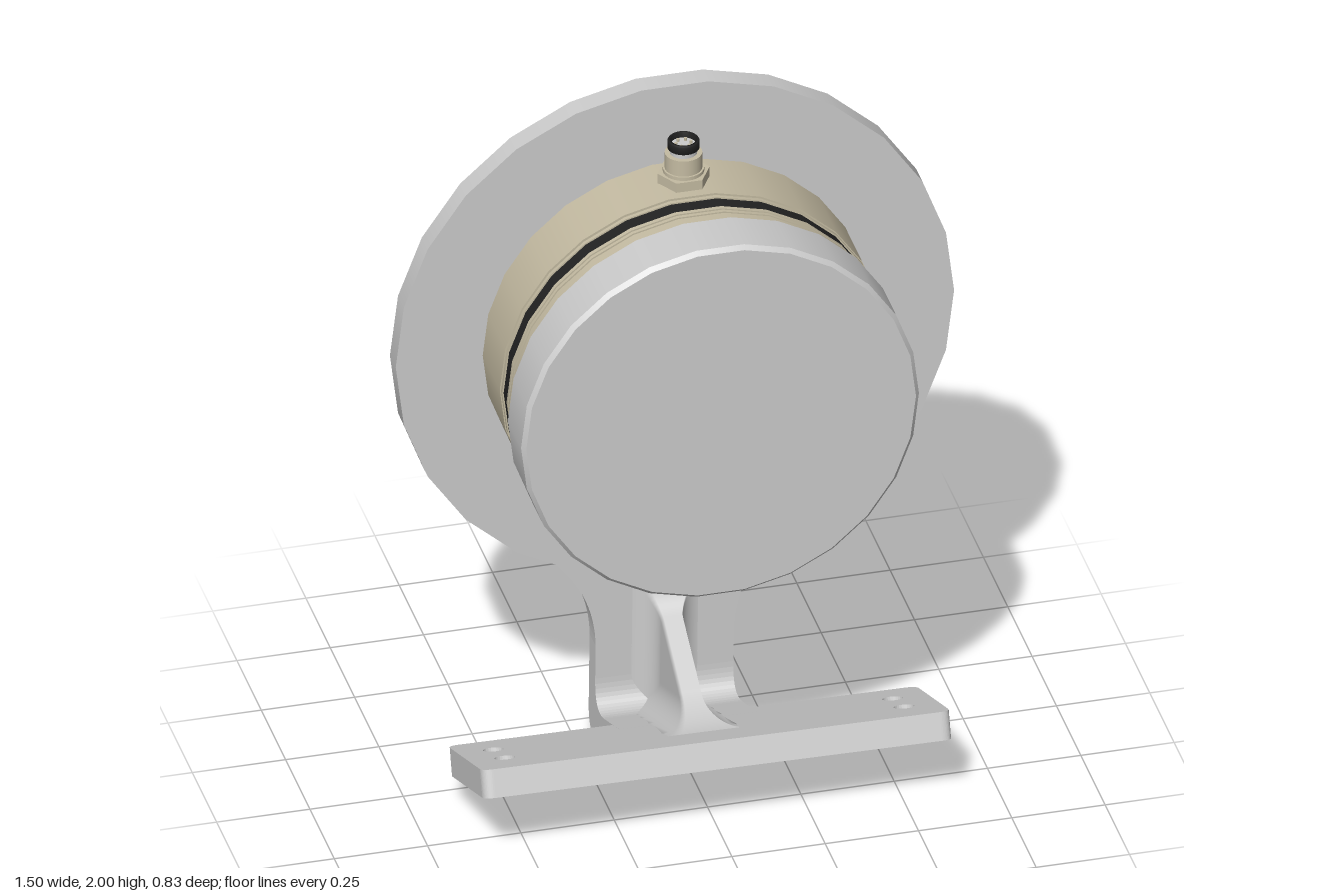
import * as THREE from 'three';
import { ParametricGeometry } from 'three/addons/geometries/ParametricGeometry.js';

const CY = 1.258; // height of the main axis
const SIDES = 26;
const grey = new THREE.MeshStandardMaterial({ color: 0xcccccc });
const greyThin = new THREE.MeshStandardMaterial({ color: 0xcccccc, side: THREE.DoubleSide });
const tan = new THREE.MeshStandardMaterial({ color: 0xc4bba2 });
const black = new THREE.MeshStandardMaterial({ color: 0x222222 });

function add(parent, name, geometry, material) {
  const mesh = new THREE.Mesh(geometry, material);
  mesh.name = name;
  parent.add(mesh);
  return mesh;
}

// Disc along z, from z0 (back, radius r0) to z1 (front, radius r1)
function disc(parent, name, z0, z1, r0, material, r1 = r0, sides = SIDES) {
  const g = new THREE.CylinderGeometry(r1, r0, z1 - z0, sides, 1, false, Math.PI / 2);
  g.rotateX(Math.PI / 2).translate(0, CY, (z0 + z1) / 2);
  return add(parent, name, g, material);
}

// Upright cylinder for the connector
function post(parent, name, y0, y1, r, material, sides = 24) {
  const g = new THREE.CylinderGeometry(r, r, y1 - y0, sides).translate(0, (y0 + y1) / 2, 0);
  return add(parent, name, g, material);
}

function hole(shape, x, y, r) {
  shape.holes.push(new THREE.Path().absarc(x, y, r, 0, Math.PI * 2, true));
}

function buildHousing(group) {
  disc(group, 'flange', -0.145, -0.085, 0.748, grey);
  disc(group, 'rearDisc', -0.207, -0.145, 0.6, grey);
  disc(group, 'rearDrum', -0.415, -0.207, 0.375, grey);

  // Banded body: back z, front z, radius, material
  const bands = [
    ['bodyShell', -0.085, 0.09, 0.515, tan],
    ['bodyGroove', 0.09, 0.096, 0.508, tan],
    ['bodyRing', 0.096, 0.107, 0.513, tan],
    ['sealRing', 0.107, 0.152, 0.509, black],
    ['frontRing', 0.152, 0.164, 0.513, tan],
    ['frontGroove', 0.164, 0.17, 0.506, tan],
    ['frontRing', 0.17, 0.18, 0.513, tan],
    ['frontGroove', 0.18, 0.186, 0.506, tan],
    ['frontShell', 0.186, 0.24, 0.513, tan],
  ];
  for (const [name, z0, z1, r, m] of bands) disc(group, name, z0, z1, r, m);

  // Front cap with bevelled rims
  disc(group, 'capBackBevel', 0.235, 0.242, 0.526, grey, 0.533);
  disc(group, 'cap', 0.242, 0.378, 0.533, grey);
  disc(group, 'capFrontBevel', 0.378, 0.39, 0.533, grey, 0.522);

  // Row of small marks low on the left side
  for (const y of [0.86, 0.905, 0.95]) {
    const a = Math.asin((y - CY) / 0.513);
    const dot = new THREE.CylinderGeometry(0.007, 0.007, 0.006, 10).rotateZ(a - Math.PI / 2);
    dot.translate(Math.cos(a) * 0.511, y, 0.015);
    add(group, 'sideMark', dot, black);
  }
}

function buildConnector() {
  const c = new THREE.Group();
  c.name = 'connector';
  c.position.z = 0.003;
  const hex = post(c, 'hexNut', 1.765, 1.797, 0.07, tan, 6);
  hex.rotation.y = Math.PI / 2;
  hex.material = new THREE.MeshStandardMaterial({ color: 0xc4bba2, flatShading: true });
  post(c, 'nutCollar', 1.797, 1.807, 0.054, tan);
  post(c, 'plugBody', 1.807, 1.853, 0.049, tan);
  post(c, 'plugNeck', 1.853, 1.868, 0.036, grey);
  // Hollow rim around the pins
  const rim = [[0.033, 1.868], [0.042, 1.868], [0.042, 1.888], [0.039, 1.892], [0.033, 1.892], [0.033, 1.868]];
  add(c, 'plugRim', new THREE.LatheGeometry(rim.map(p => new THREE.Vector2(...p)), 24), black);
  post(c, 'pinFace', 1.866, 1.876, 0.034, grey);
  for (let i = 0; i < 6; i++) {
    const a = (i / 6) * Math.PI * 2;
    const pin = post(c, 'pin', 1.874, 1.884, 0.004, tan, 8);
    pin.position.set(Math.cos(a) * 0.02, 0, Math.sin(a) * 0.02);
  }
  return c;
}

function buildBracket() {
  const pivot = new THREE.Group();
  pivot.name = 'bracket';
  pivot.position.y = CY;
  pivot.rotation.z = -0.012;
  const b = new THREE.Group();
  b.name = 'bracketParts';
  b.position.y = -CY;
  pivot.add(b);

  // Flared back plate that hugs the rear disc
  const half = 0.578, mid = -Math.PI / 2, W = 0.185;
  const ex = 0.745 * Math.sin(half), ey = CY - 0.745 * Math.cos(half);
  const plate = new THREE.Shape();
  plate.moveTo(-W, 0.07);
  plate.lineTo(W, 0.07);
  plate.lineTo(W, 0.28);
  plate.quadraticCurveTo(0.19, 0.5, ex, ey);
  plate.absarc(0, CY, 0.598, mid + half, mid - half, true);
  plate.lineTo(-ex, ey);
  plate.quadraticCurveTo(-0.19, 0.5, -W, 0.28);
  for (const a of [-0.42, 0, 0.42]) {
    hole(plate, 0.67 * Math.sin(a), CY - 0.67 * Math.cos(a), a ? 0.02 : 0.014);
  }
  add(b, 'backPlate', new THREE.ExtrudeGeometry(plate,
    { depth: 0.062, bevelEnabled: false, curveSegments: 20 }).translate(0, 0, -0.207), grey);

  // Bent strap joining the back plate to the foot, drawn as (z, y)
  const strap = new THREE.Shape();
  strap.moveTo(-0.207, 0.18);
  strap.lineTo(-0.207, 0.07);
  strap.quadraticCurveTo(-0.207, -0.022, -0.12, 0.007);
  strap.lineTo(0.1, 0.092);
  strap.lineTo(0.1, 0.174);
  strap.lineTo(-0.05, 0.115);
  strap.quadraticCurveTo(-0.145, 0.078, -0.145, 0.18);
  add(b, 'bentStrap', new THREE.ExtrudeGeometry(strap, { depth: 2 * W, bevelEnabled: false })
    .rotateY(-Math.PI / 2).translate(W, 0, 0), grey);

  // Sloping foot with rounded corners and four bolt holes
  const X = 0.628, L = 0.376, R = 0.03;
  const foot = new THREE.Shape();
  foot.moveTo(-X + R, 0);
  foot.lineTo(X - R, 0);
  foot.quadraticCurveTo(X, 0, X, R);
  foot.lineTo(X, L - R);
  foot.quadraticCurveTo(X, L, X - R, L);
  foot.lineTo(-X + R, L);
  foot.quadraticCurveTo(-X, L, -X, L - R);
  foot.lineTo(-X, R);
  foot.quadraticCurveTo(-X, 0, -X + R, 0);
  for (const x of [-0.535, 0.535]) for (const s of [0.132, 0.256]) hole(foot, x, s, 0.027);
  add(b, 'foot', new THREE.ExtrudeGeometry(foot, { depth: 0.076, bevelEnabled: false })
    .rotateX(-1.943).translate(0, 0.215, 0.415), grey);

  // Centre rib: a curved edge swept to the inner corner, flaring near the plates
  const edge = new THREE.CurvePath();
  const P = (z, y) => new THREE.Vector2(z, y);
  edge.add(new THREE.QuadraticBezierCurve(P(-0.147, 0.5), P(-0.143, 0.42), P(-0.09, 0.385)));
  edge.add(new THREE.LineCurve(P(-0.09, 0.385), P(0.1, 0.275)));
  edge.add(new THREE.QuadraticBezierCurve(P(0.1, 0.275), P(0.17, 0.225), P(0.26, 0.236)));
  const corner = P(-0.15, 0.07), F = 0.075;
  const ribPoint = (u, v, target) => {
    const s = v * 2 - 1; // -1 and 1 are the buried sides, the middle is the edge
    const p = edge.getPoint(u).lerp(corner, Math.max(0, (Math.abs(s) - 0.1) / 0.9));
    const toPlate = p.x + 0.147, toFoot = (p.y - 0.134 - 0.39 * p.x) * 0.93;
    const d = THREE.MathUtils.clamp(Math.min(toPlate, toFoot), 0, F);
    const w = 0.03 + F - Math.sqrt(F * F - (F - d) ** 2);
    target.set(w * THREE.MathUtils.clamp(s / 0.1, -1, 1), p.y, p.x);
  };
  add(b, 'rib', new ParametricGeometry(ribPoint, 40, 60), greyThin);
  return pivot;
}

export function createModel() {
  const model = new THREE.Group();
  model.name = 'bracketMountedUnit';
  buildHousing(model);
  model.add(buildConnector(), buildBracket());
  return model;
}
